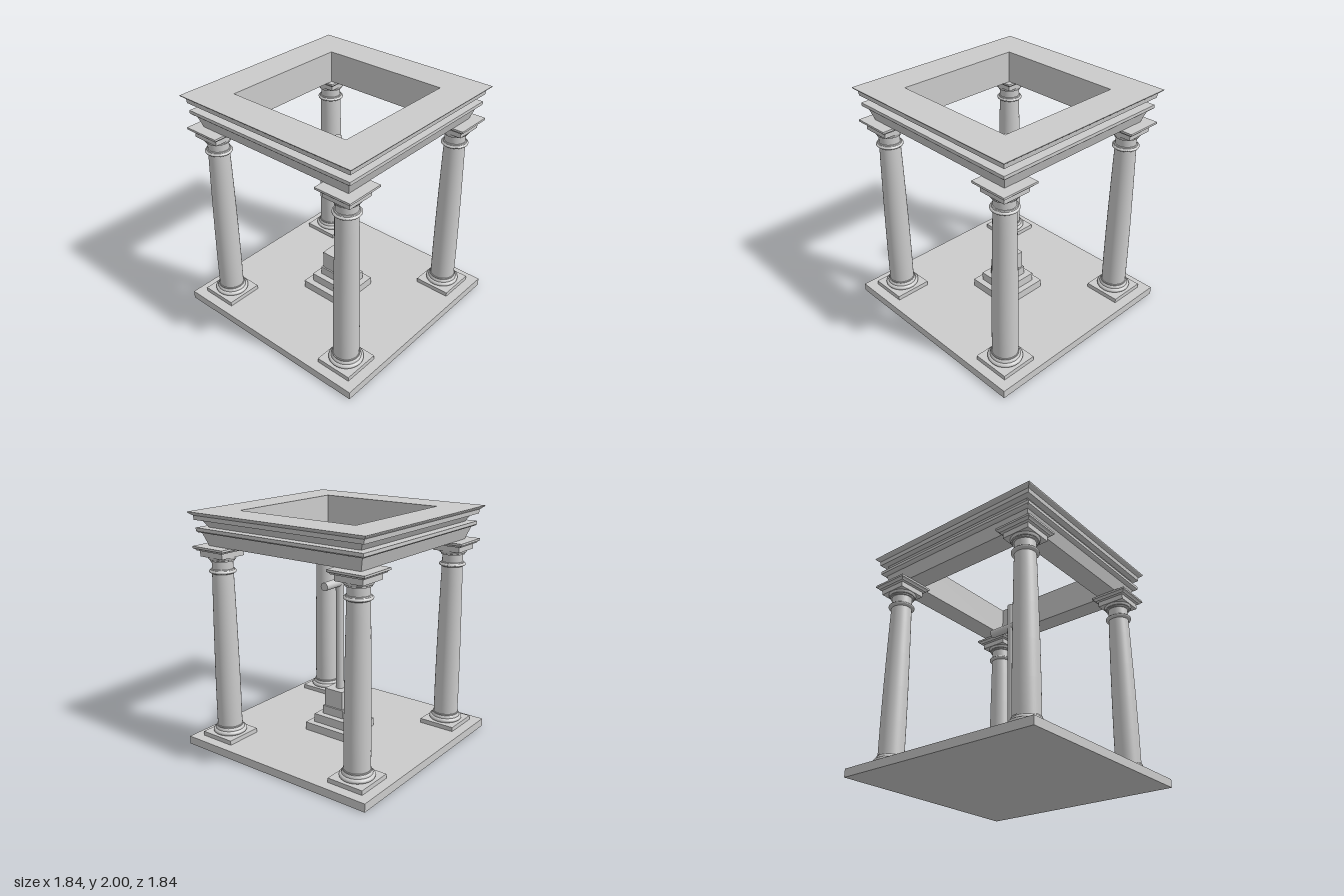
import * as THREE from 'three';
import { toCreasedNormals } from 'three/addons/utils/BufferGeometryUtils.js';

const smooth = new THREE.MeshStandardMaterial({ color: 0xcccccc });
const flat = new THREE.MeshStandardMaterial({ color: 0xcccccc, flatShading: true });

function add(parent, name, geometry, material = flat) {
  const mesh = new THREE.Mesh(geometry, material);
  mesh.name = name;
  parent.add(mesh);
  return mesh;
}

// Square block of given half width between two heights
function block(parent, name, half, y0, y1) {
  add(parent, name, new THREE.BoxGeometry(half * 2, y1 - y0, half * 2)).position.y = (y0 + y1) / 2;
}

// Square moulding: profile of [half width, height] swept round four mitred sides
function squareSweep(profile) {
  const points = profile.map(([h, y]) => new THREE.Vector2(h * Math.SQRT2, y));
  return new THREE.LatheGeometry(points, 4, Math.PI / 4);
}

// Turned profile of [radius, height]
function turned(profile) {
  const points = profile.map(([r, y]) => new THREE.Vector2(r, y));
  return toCreasedNormals(new THREE.LatheGeometry(points, 40), 0.6);
}

// Points of a rounded bead bulging from radius r to r + out
function bead(r, out, y0, y1) {
  return Array.from({ length: 9 }, (_, i) => {
    const a = (i / 8 - 0.5) * Math.PI;
    return [r + out * Math.cos(a), (y0 + y1) / 2 + Math.sin(a) * (y1 - y0) / 2];
  });
}

function createColumn() {
  const column = new THREE.Group();
  column.name = 'column';
  block(column, 'plinth', 0.16, 0.07, 0.108);
  add(column, 'columnBase', turned([
    [0, 0.108], ...bead(0.122, 0.02, 0.108, 0.145),
    [0.122, 0.15], [0.119, 0.16], [0.111, 0.168], [0.111, 0.178], [0.104, 0.18],
  ]), smooth);
  add(column, 'shaft', turned([
    [0.105, 0.178], [0.105, 0.45], [0.102, 0.75], [0.097, 1.05], [0.091, 1.35], [0.087, 1.5],
  ]), smooth);
  add(column, 'neckRing', turned([
    [0.087, 1.5], [0.095, 1.504], ...bead(0.098, 0.013, 1.506, 1.53), [0.094, 1.538], [0.086, 1.54],
  ]), smooth);
  add(column, 'capitalNeck', turned([
    [0.086, 1.53], [0.086, 1.605], [0.1, 1.605], [0.1, 1.615],
    [0.108, 1.618], [0.115, 1.628], [0.117, 1.642], [0, 1.642],
  ]), smooth);
  add(column, 'abacus', squareSweep([
    [0, 1.64], [0.122, 1.64], [0.122, 1.685], [0.143, 1.69], [0.149, 1.7],
    [0.163, 1.708], [0.163, 1.725], [0, 1.725],
  ]));
  return column;
}

export function createModel() {
  const model = new THREE.Group();
  model.name = 'pavilion';

  block(model, 'floorSlab', 0.92, 0, 0.07);

  // Four corner columns
  for (const x of [-1, 1]) for (const z of [-1, 1]) {
    const column = createColumn();
    column.position.set(x * 0.675, 0, z * 0.675);
    model.add(column);
  }

  // Open square entablature with stepped mouldings
  add(model, 'entablature', squareSweep([
    [0.565, 1.725], [0.745, 1.725], [0.78, 1.828], [0.802, 1.834], [0.814, 1.845],
    [0.814, 1.872], [0.74, 1.872], [0.776, 1.928], [0.822, 1.934], [0.826, 1.97],
    [0.835, 1.976], [0.855, 1.992], [0.858, 2], [0.565, 2], [0.565, 1.725],
  ]));

  // Stepped pedestal and cross
  const monument = new THREE.Group();
  monument.name = 'monument';
  model.add(monument);
  block(monument, 'lowerStep', 0.213, 0.07, 0.14);
  block(monument, 'middleStep', 0.158, 0.14, 0.215);
  block(monument, 'upperStep', 0.105, 0.215, 0.29);
  block(monument, 'pedestal', 0.092, 0.29, 0.45);
  add(monument, 'crossPost', new THREE.CylinderGeometry(0.035, 0.035, 1.15, 32), smooth).position.y = 1.025;
  const arm = add(monument, 'crossArm', new THREE.CylinderGeometry(0.035, 0.035, 0.424, 32), smooth);
  arm.position.y = 1.39;
  arm.rotation.z = Math.PI / 2;

  return model;
}
